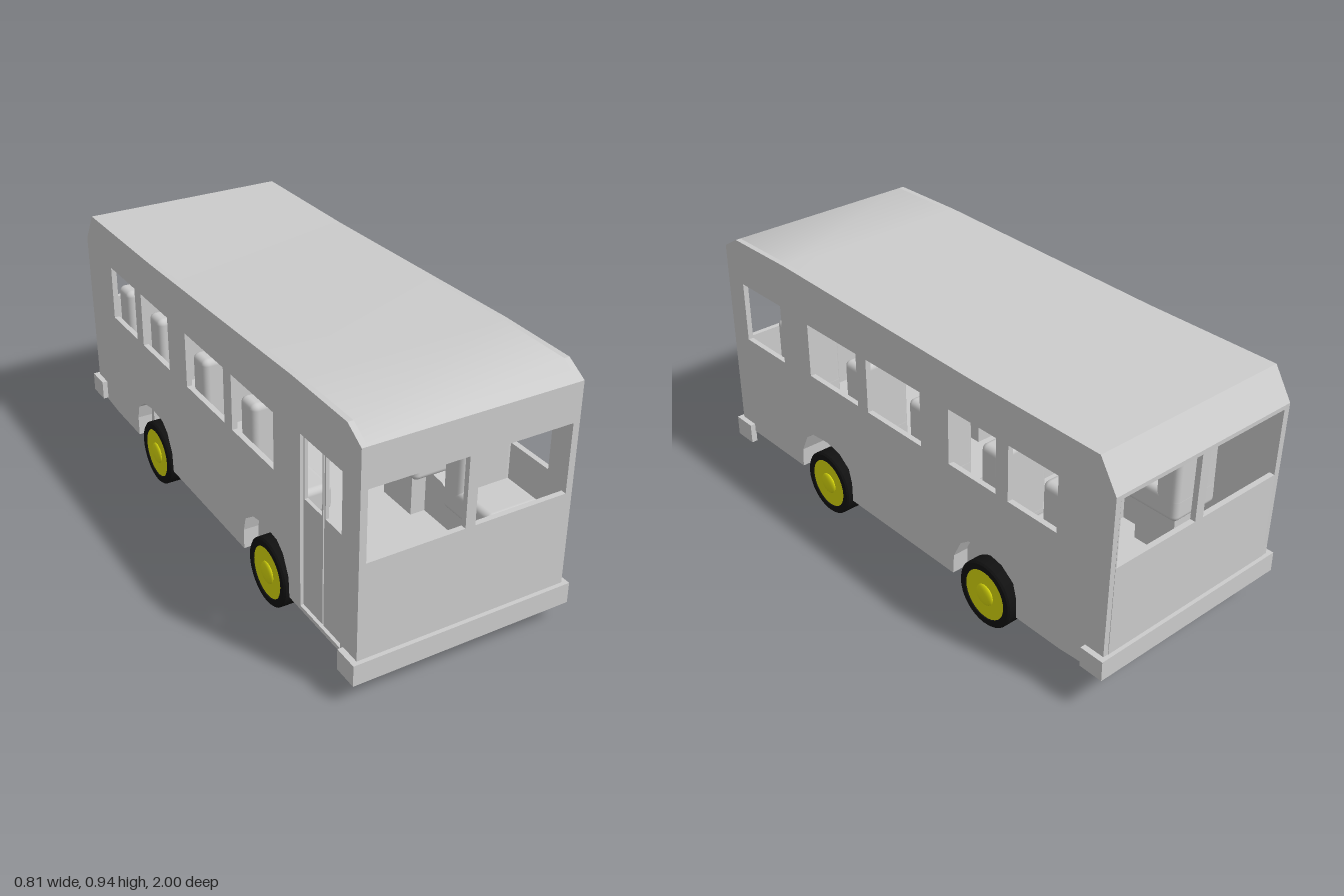
import * as THREE from 'three';
import { toCreasedNormals } from 'three/addons/utils/BufferGeometryUtils.js';
import { RoundedBoxGeometry } from 'three/addons/geometries/RoundedBoxGeometry.js';

const HALF = 0.3875;   // half body width
const WALL = 0.02;     // panel thickness
const WHEEL_Z = [0.425, -0.445];

const grey = new THREE.MeshStandardMaterial({ color: 0xcccccc });
const black = new THREE.MeshStandardMaterial({ color: 0x111111 });
const yellow = new THREE.MeshStandardMaterial({ color: 0xd8d80c });

// Roof line as (z, y), front to back
const ROOF = [[0.985, 0.895], [0.91, 0.94], [0.6, 0.942], [0, 0.925], [-0.4, 0.914], [-0.93, 0.91], [-0.998, 0.8]];
// Wheel arch as (z offset from the axle, y), back to front
const ARCH = [[-0.155, 0.125], [-0.155, 0.2], [-0.14, 0.255], [-0.085, 0.295], [-0.015, 0.308],
  [0.075, 0.3], [0.115, 0.27], [0.15, 0.2], [0.155, 0.125]];

const toShape = (pts) => new THREE.Shape(pts.map(([a, b]) => new THREE.Vector2(a, b)));
const rect = (a0, a1, b0, b1) => [[a0, b0], [a1, b0], [a1, b1], [a0, b1]];

function panel(points, holes, depth) {
  const shape = toShape(points);
  holes.forEach((h) => shape.holes.push(toShape(h)));
  return new THREE.ExtrudeGeometry(shape, { depth, bevelEnabled: false });
}

// Extrude a (z, y) outline across x, from x0 to x1
function sidePanel(points, holes, x0, x1) {
  return panel(points, holes, x1 - x0).rotateY(-Math.PI / 2).translate(x1, 0, 0);
}

function add(parent, name, geometry, material = grey) {
  const mesh = new THREE.Mesh(geometry, material);
  mesh.name = name;
  parent.add(mesh);
  return mesh;
}

function box(parent, name, x0, x1, y0, y1, z0, z1) {
  const g = new THREE.BoxGeometry(x1 - x0, y1 - y0, z1 - z0);
  return add(parent, name, g.translate((x0 + x1) / 2, (y0 + y1) / 2, (z0 + z1) / 2));
}

function addWalls(bus) {
  // Side outline: roof line, then along the bottom with both wheel arches cut out
  const outline = [...ROOF, [-0.985, 0.25], [-0.985, 0.14], [-0.8, 0.125]];
  [...WHEEL_Z].reverse().forEach((wz) => ARCH.forEach(([z, y]) => outline.push([wz + z, y])));
  outline.push([0.985, 0.125]);
  const windows = [[0.205, 0.485], [-0.135, 0.15], [-0.5, -0.275], [-0.77, -0.555]]
    .map(([z0, z1]) => rect(z0, z1, 0.555, 0.76));
  add(bus, 'leftWall', sidePanel(outline, [...windows, rect(0.65, 0.89, 0.54, 0.77)], HALF - WALL, HALF));
  add(bus, 'rightWall', sidePanel(outline, [...windows, rect(0.65, 0.89, 0.14, 0.77)], -HALF, WALL - HALF));

  // Front and back, each with a pair of windows
  const w = HALF - WALL;
  const panes = (y0, y1) => [rect(-0.363, -0.016, y0, y1), rect(0.02, 0.363, y0, y1)];
  add(bus, 'frontWall', panel(rect(-w, w, 0.125, 0.895), panes(0.505, 0.756), WALL).translate(0, 0, 0.985 - WALL));
  const back = panel(rect(-w, w, 0.14, 0.8), panes(0.54, 0.785), WALL).translate(0, 0, -0.985);
  const p = back.attributes.position;
  for (let i = 0; i < p.count; i++) { // lean outwards above the bumper
    p.setZ(i, p.getZ(i) - 0.013 * Math.max(0, (p.getY(i) - 0.14) / 0.66));
  }
  back.computeVertexNormals();
  add(bus, 'backWall', back);

  // Roof shell between the side walls
  const inner = ROOF.map(([z, y]) => [z * 0.98, y - 0.02]).reverse();
  add(bus, 'roof', toCreasedNormals(sidePanel([...ROOF, ...inner], [], -w, w), 0.6));
}

function addFloor(bus) {
  // Floor narrowed around the wheel wells
  const w = HALF - WALL, n = 0.26;
  const edge = [[w, -0.965]];
  [...WHEEL_Z].reverse().forEach((z) => edge.push([w, z - 0.155], [n, z - 0.155], [n, z + 0.155], [w, z + 0.155]));
  edge.push([w, 0.965]);
  const mirrored = edge.map(([x, z]) => [-x, z]).reverse();
  const g = panel([...edge, ...mirrored], [], 0.02).rotateX(Math.PI / 2); // shape y becomes z
  add(bus, 'floor', g.translate(0, 0.147, 0));
}

function addDoor(bus) {
  const door = new THREE.Group();
  door.name = 'door';
  bus.add(door);
  const x0 = -HALF + 0.012, x1 = -HALF + 0.024;
  [[0.65, 0.766], [0.774, 0.89]].forEach(([z0, z1]) => {
    const leaf = rect(z0, z1, 0.135, 0.775);
    const pane = rect(z0 + 0.006, z1 - 0.006, 0.54, 0.768);
    add(door, 'doorLeaf', sidePanel(leaf, [pane], x0, x1));
  });
  box(door, 'doorSeam', x0 + 0.004, x1, 0.135, 0.775, 0.766, 0.774);
}

function addWheels(bus, side) {
  WHEEL_Z.forEach((wz) => {
    // Wheel well: bent arch plus the inner plate
    const arch = ARCH.map(([z, y]) => [wz + z, y]);
    const outer = ARCH.map(([z, y]) => [wz + z * 1.07, y === 0.125 ? y : y + 0.012]).reverse();
    const a = side > 0 ? [0.26, HALF - 0.005] : [0.005 - HALF, -0.26];
    add(bus, 'wheelWell', sidePanel([...arch, ...outer], [], a[0], a[1]));
    const b = side > 0 ? [0.25, 0.26] : [-0.26, -0.25];
    add(bus, 'wheelWellPlate', sidePanel(outer, [], b[0], b[1]));

    const wheel = new THREE.Group();
    wheel.name = 'wheel';
    wheel.position.set(side * 0.339, 0.122, wz);
    wheel.rotation.z = -side * Math.PI / 2; // local +y points outwards
    bus.add(wheel);
    // Tyre with a shallow recess for the rim
    const profile = [[0, -0.048], [0.116, -0.048], [0.122, -0.042], [0.122, 0.042], [0.116, 0.048],
      [0.094, 0.048], [0.09, 0.036], [0, 0.036]].map(([r, y]) => new THREE.Vector2(r, y));
    add(wheel, 'tyre', toCreasedNormals(new THREE.LatheGeometry(profile, 32), 0.5), black);
    add(wheel, 'rim', new THREE.CylinderGeometry(0.093, 0.093, 0.006, 32).translate(0, 0.041, 0), yellow);
    const cap = new THREE.SphereGeometry(0.04, 24, 8, 0, Math.PI * 2, 0, Math.PI / 2).scale(1, 0.3, 1);
    add(wheel, 'hubCap', cap.translate(0, 0.044, 0), yellow);
  });
}

function addSeat(bus, x, zFront) {
  const seat = new THREE.Group();
  seat.name = 'seat';
  seat.position.set(x, 0, zFront);
  bus.add(seat);
  add(seat, 'seatBack', new RoundedBoxGeometry(0.205, 0.345, 0.095, 3, 0.022).translate(0, 0.513, -0.0475));
  add(seat, 'seatCushion', new RoundedBoxGeometry(0.205, 0.1, 0.255, 3, 0.022).translate(0, 0.37, 0.032));
  box(seat, 'seatBase', -0.07, 0.07, 0.14, 0.33, -0.07, 0.1);
}

// Bumper wrapping round the corners; dir +1 front, -1 back
function addBumper(bus, name, dir, y0, y1) {
  const w = HALF + 0.02;
  const u = [[-w, 0.908], [-w, 1], [w, 1], [w, 0.908], [HALF - 0.003, 0.908],
    [HALF - 0.003, 0.982], [0.003 - HALF, 0.982], [0.003 - HALF, 0.908]];
  const g = panel(u, [], y1 - y0).rotateX(Math.PI / 2).translate(0, y1, 0);
  add(bus, name, dir < 0 ? g.rotateY(Math.PI) : g);
}

export function createModel() {
  const bus = new THREE.Group();
  bus.name = 'bus';
  addWalls(bus);
  addFloor(bus);
  addDoor(bus);
  addBumper(bus, 'frontBumper', 1, 0.08, 0.157);
  addBumper(bus, 'backBumper', -1, 0.14, 0.213);
  for (const side of [1, -1]) {
    addWheels(bus, side);
    [0.31, -0.04, -0.4, -0.677].forEach((z) => addSeat(bus, side * 0.262, z));
  }
  addSeat(bus, 0.262, 0.72); // driver
  bus.position.x = -0.0025;
  const model = new THREE.Group();
  model.name = 'model';
  model.add(bus);
  return model;
}
